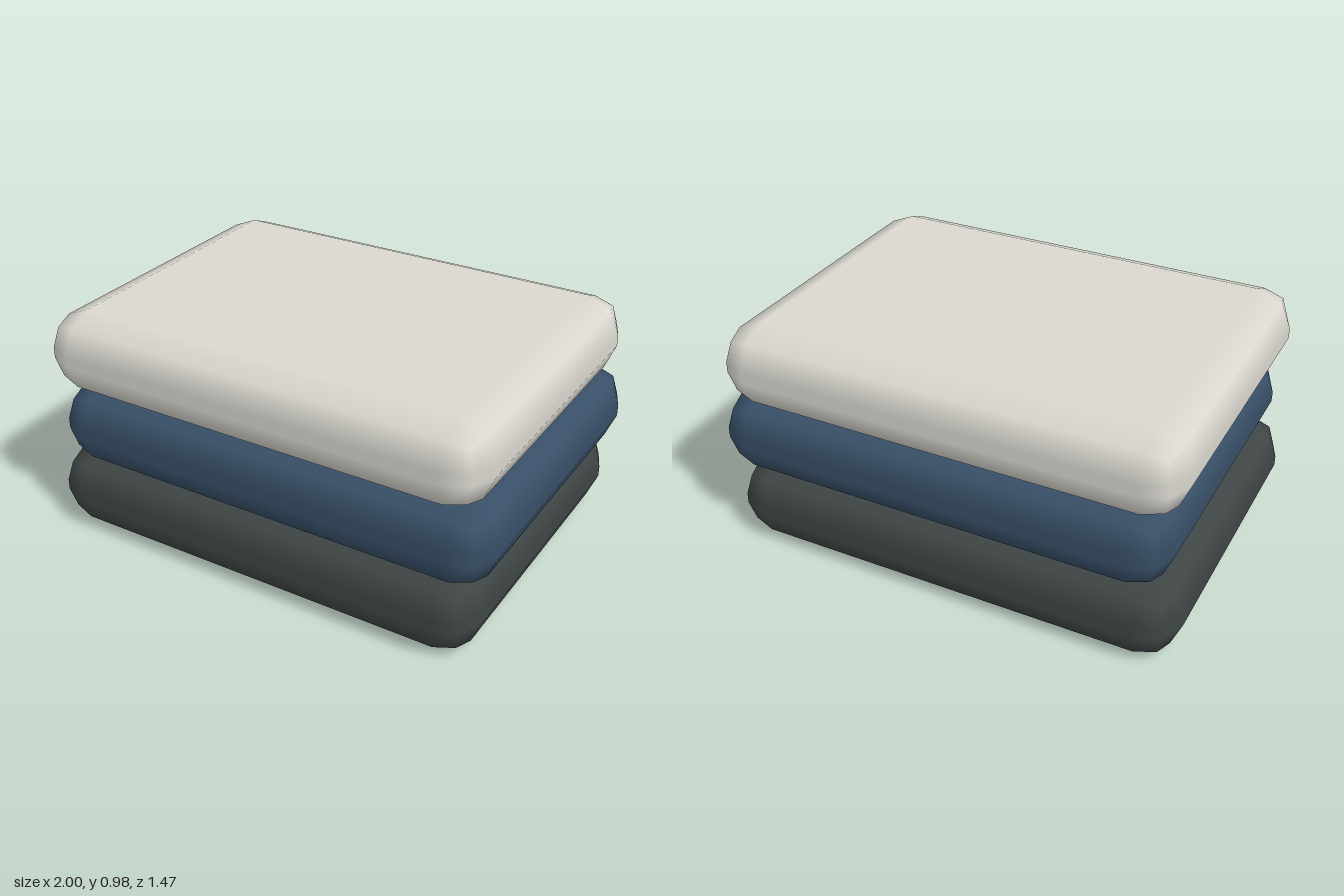
import * as THREE from 'three';
import { RoundedBoxGeometry } from 'three/addons/geometries/RoundedBoxGeometry.js';

export function createModel() {
  const group = new THREE.Group();
  group.name = 'cushionStack';

  // One soft slab shared by all three layers
  const slab = new RoundedBoxGeometry(1.95, 0.345, 1.465, 1, 0.15);

  // Layers from the floor up, each shifted a little sideways
  const layers = [
    { name: 'bottomCushion', colorName: 'charcoal', color: 0x3f4645, x: -0.025, y: 0.1725 },
    { name: 'middleCushion', colorName: 'slateBlue', color: 0x385068, x: 0.024, y: 0.491 },
    { name: 'topCushion', colorName: 'warmWhite', color: 0xdad8d0, x: -0.012, y: 0.808 },
  ];

  for (const { name, colorName, color, x, y } of layers) {
    const material = new THREE.MeshStandardMaterial({ color });
    material.name = colorName;
    const cushion = new THREE.Mesh(slab, material);
    cushion.name = name;
    cushion.position.set(x, y, 0);
    group.add(cushion);
  }
  return group;
}
